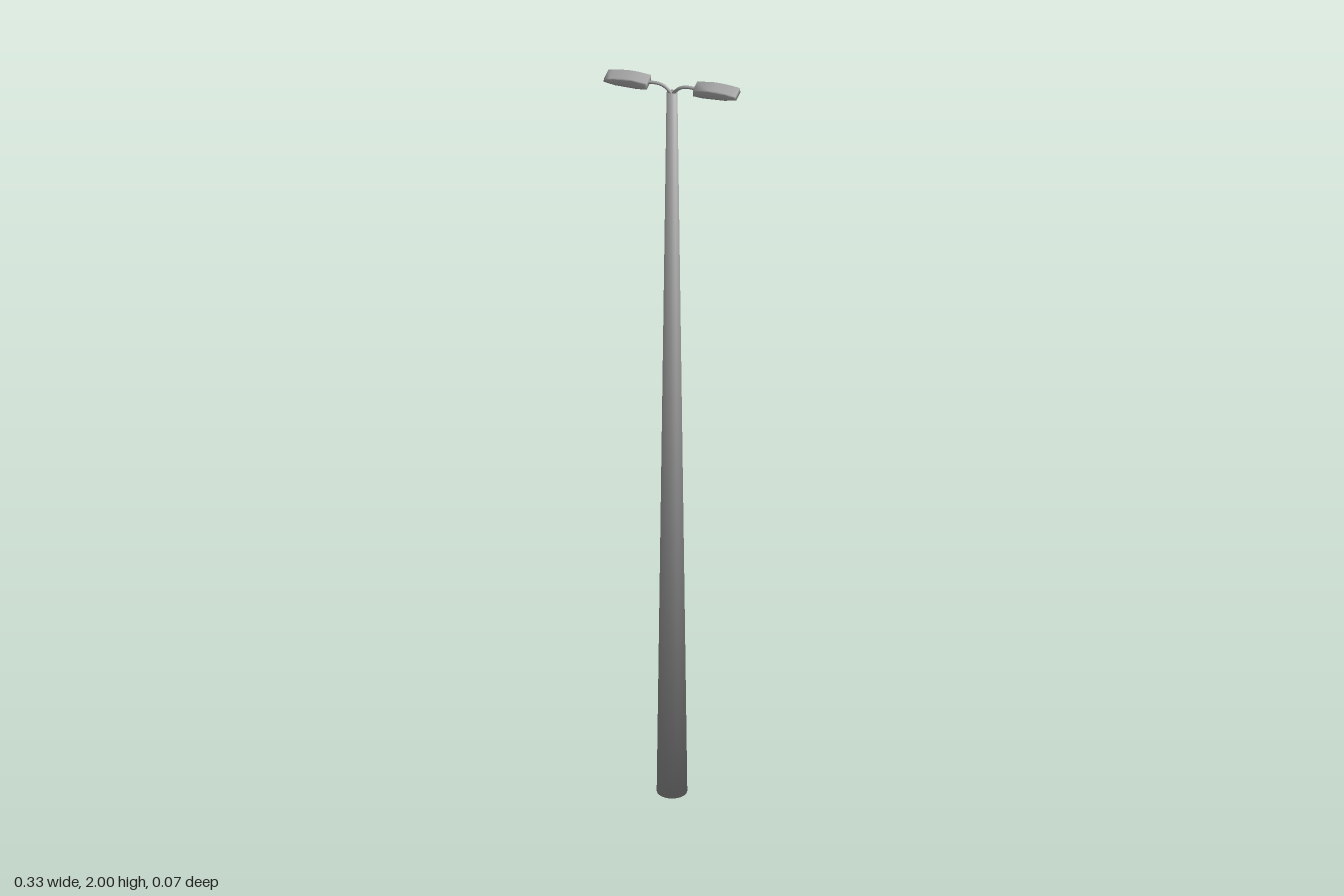
import * as THREE from 'three';
import { mergeVertices } from 'three/addons/utils/BufferGeometryUtils.js';

const grey = new THREE.MeshStandardMaterial({ color: 0xa4a4a4 });

function addMesh(parent, name, geometry) {
  const mesh = new THREE.Mesh(geometry, grey);
  mesh.name = name;
  parent.add(mesh);
  return mesh;
}

// Tapered pole whose shading rolls smoothly from the sides over both end caps
function poleGeometry(topRadius, bottomRadius, height) {
  const g = new THREE.CylinderGeometry(topRadius, bottomRadius, height, 32);
  const { position, normal } = g.attributes;
  const n = new THREE.Vector3();
  for (let i = 0; i < position.count; i++) {
    n.set(position.getX(i), 0, position.getZ(i)).normalize();
    n.y = Math.sign(position.getY(i));
    n.normalize();
    normal.setXYZ(i, n.x, n.y, n.z);
  }
  return g.translate(0, height / 2, 0);
}

// Side outline of a lamp head, extruded across its width with soft, smooth edges
function lampHeadGeometry() {
  const bevel = 0.003, width = 0.044;
  const s = new THREE.Shape();
  s.moveTo(0.060, 1.981);
  s.lineTo(0.080, 1.979);
  s.lineTo(0.135, 1.981);
  s.lineTo(0.160, 1.986);
  s.lineTo(0.159, 1.991);
  s.quadraticCurveTo(0.125, 1.998, 0.095, 1.997);
  s.lineTo(0.060, 1.993);
  s.closePath();
  const g = new THREE.ExtrudeGeometry(s, {
    depth: width - 2 * bevel, bevelEnabled: true, bevelThickness: bevel,
    bevelSize: bevel, bevelSegments: 2, curveSegments: 6,
  });
  g.deleteAttribute('normal');
  g.deleteAttribute('uv');
  const smooth = mergeVertices(g, 1e-5);
  smooth.computeVertexNormals();
  return smooth.translate(0, 0, bevel - width / 2);
}

export function createModel() {
  const model = new THREE.Group();
  model.name = 'streetLamp';

  addMesh(model, 'pole', poleGeometry(0.013, 0.0365, 1.967));

  // Two matching arms with lamp heads
  const armPath = new THREE.CatmullRomCurve3([
    [0, 1.962], [0.008, 1.972], [0.02, 1.983], [0.036, 1.988], [0.064, 1.987],
  ].map(([x, y]) => new THREE.Vector3(x, y, 0)));
  for (const [side, turn] of [['left', 0], ['right', Math.PI]]) {
    const lamp = new THREE.Group();
    lamp.name = side + 'Lamp';
    lamp.rotation.y = turn;
    addMesh(lamp, side + 'Arm', new THREE.TubeGeometry(armPath, 20, 0.004, 12));
    addMesh(lamp, side + 'LampHead', lampHeadGeometry());
    model.add(lamp);
  }
  return model;
}
